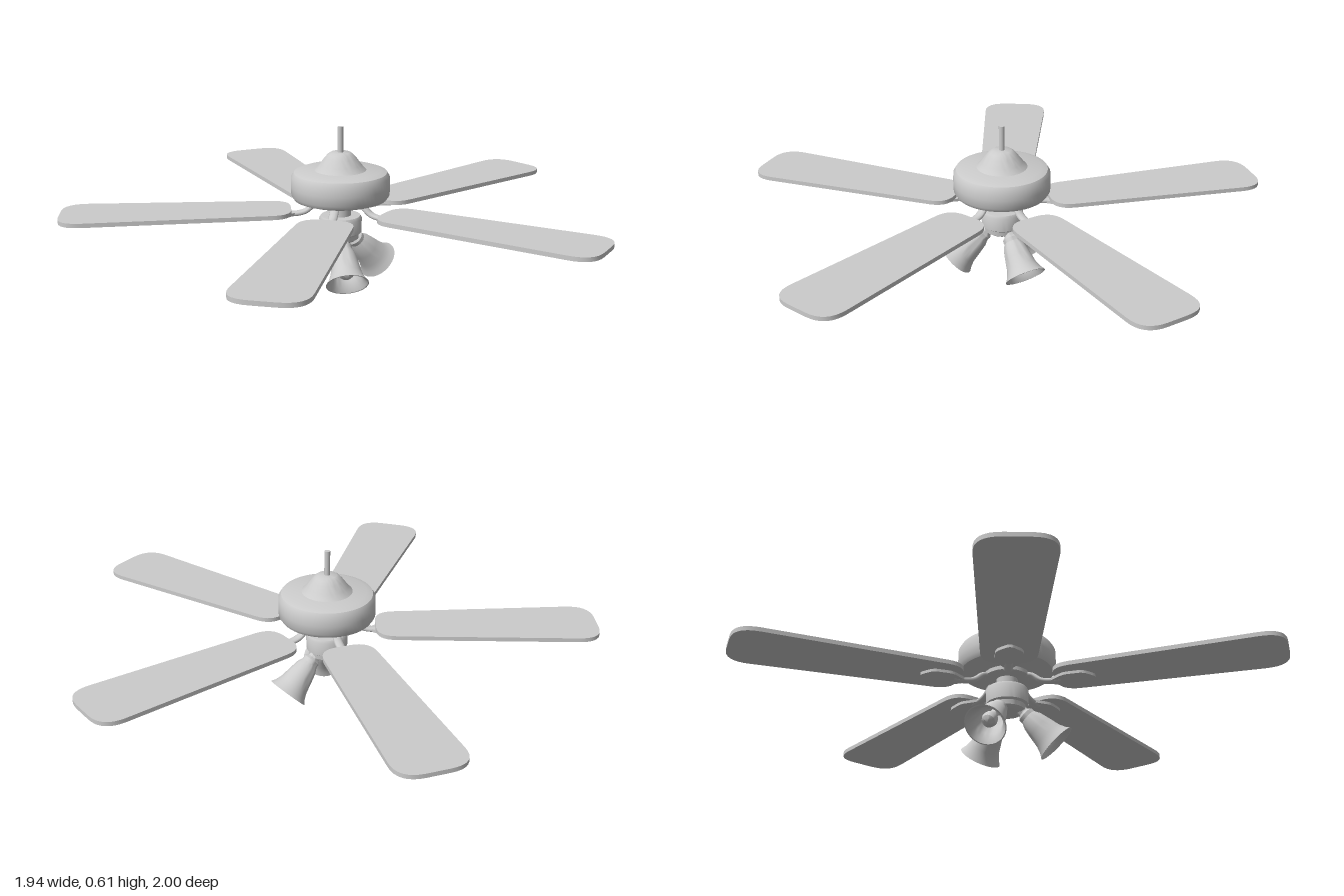
import * as THREE from 'three';
import { toCreasedNormals } from 'three/addons/utils/BufferGeometryUtils.js';

const material = new THREE.MeshStandardMaterial({ color: 0xcccccc });

function mesh(name, geometry) {
  const m = new THREE.Mesh(geometry, material);
  m.name = name;
  return m;
}

// Turned part from [radius, height] pairs, outer side listed bottom to top
function turned(name, profile, segments = 48) {
  const points = profile.map(([r, y]) => new THREE.Vector2(r, y));
  return mesh(name, toCreasedNormals(new THREE.LatheGeometry(points, segments), 0.6));
}

// Flat horizontal plate from corners [x, y, roundness], lying from y = 0 upwards
function plate(name, corners, thickness) {
  const shape = new THREE.Shape();
  const n = corners.length;
  const toward = (a, b, d) => {
    const v = new THREE.Vector2(b[0] - a[0], b[1] - a[1]).setLength(d);
    return [a[0] + v.x, a[1] + v.y];
  };
  corners.forEach((c, i) => {
    const start = toward(c, corners[(i + n - 1) % n], c[2]);
    const end = toward(c, corners[(i + 1) % n], c[2]);
    if (i === 0) shape.moveTo(...start);
    else shape.lineTo(...start);
    shape.quadraticCurveTo(c[0], c[1], ...end);
  });
  shape.closePath();
  const geometry = new THREE.ExtrudeGeometry(shape, { depth: thickness, bevelEnabled: false, curveSegments: 8 });
  geometry.rotateX(-Math.PI / 2);
  return mesh(name, toCreasedNormals(geometry, 0.6));
}

// One blade with its bracket, pointing along +x
function createBlade() {
  const group = new THREE.Group();
  group.name = 'bladeAssembly';

  const blade = plate('blade', [
    [0.185, -0.1, 0.075], [1.03, -0.136, 0.095], [1.03, 0.136, 0.095], [0.185, 0.1, 0.075],
  ], 0.016);
  blade.position.y = 0.287;

  const bracket = plate('bladeBracket', [
    [0.17, -0.015, 0.008], [0.225, -0.052, 0.02], [0.3, -0.05, 0.02], [0.342, 0, 0.02],
    [0.3, 0.05, 0.02], [0.225, 0.052, 0.02], [0.17, 0.015, 0.008],
  ], 0.011);
  bracket.position.y = 0.276;

  const path = new THREE.CatmullRomCurve3([
    new THREE.Vector3(0.06, 0.318, 0), new THREE.Vector3(0.095, 0.315, 0),
    new THREE.Vector3(0.13, 0.29, 0), new THREE.Vector3(0.16, 0.282, 0),
    new THREE.Vector3(0.21, 0.281, 0),
  ]);
  const arm = mesh('bladeArm', new THREE.TubeGeometry(path, 20, 0.01, 10).scale(1, 1, 1.7));

  group.add(blade, bracket, arm);
  return group;
}

// One lamp leaning outwards along +x
function createLamp() {
  const pivot = new THREE.Group();
  pivot.name = 'lamp';
  const lamp = new THREE.Group();
  lamp.name = 'lampHead';
  lamp.position.set(0.18, 0.057, 0);
  lamp.rotation.z = Math.PI / 4;

  // Bell shade: inner wall down, over the lip, outer wall up
  const shade = turned('shade', [
    [0, 0.14], [0.024, 0.14], [0.037, 0.12], [0.045, 0.085], [0.053, 0.04], [0.063, 0.015], [0.075, 0],
    [0.079, 0], [0.068, 0.017], [0.058, 0.042], [0.05, 0.085], [0.042, 0.122], [0.03, 0.147], [0, 0.15],
  ], 32);
  const bulb = turned('bulb', [
    [0, 0.022], [0.014, 0.025], [0.025, 0.034], [0.029, 0.05], [0.026, 0.066], [0.016, 0.09],
    [0.014, 0.14],
  ], 24);
  const socket = turned('socket', [
    [0, 0.142], [0.032, 0.142], [0.032, 0.158], [0.022, 0.168], [0.018, 0.21], [0, 0.21],
  ], 24);

  lamp.add(shade, bulb, socket);
  pivot.add(lamp);
  return pivot;
}

export function createModel() {
  const fan = new THREE.Group();
  fan.name = 'ceilingFan';
  const body = new THREE.Group();
  body.name = 'fanBody';
  body.position.set(-0.06, 0, 0.013);
  fan.add(body);

  // Hanging rod, canopy and motor
  const rod = mesh('rod', new THREE.CylinderGeometry(0.011, 0.011, 0.11, 20));
  rod.position.y = 0.552;
  const canopy = turned('canopy', [
    [0.098, 0.443], [0.09, 0.45], [0.078, 0.465], [0.06, 0.489], [0.047, 0.504], [0.036, 0.511], [0, 0.512],
  ]);
  const motor = turned('motorHousing', [
    [0, 0.329], [0.15, 0.329], [0.173, 0.337], [0.183, 0.352], [0.184, 0.385], [0.183, 0.42],
    [0.173, 0.436], [0.15, 0.444], [0, 0.446],
  ], 64);

  // Rotor, neck and switch housing below the motor
  const rotor = turned('rotor', [[0, 0.308], [0.07, 0.308], [0.085, 0.314], [0.085, 0.332], [0, 0.332]]);
  const neck = mesh('neck', new THREE.CylinderGeometry(0.04, 0.04, 0.07, 32));
  neck.position.y = 0.29;
  const switchHousing = turned('switchHousing', [
    [0, 0.172], [0.055, 0.174], [0.067, 0.182], [0.069, 0.2], [0.078, 0.206], [0.08, 0.26],
    [0.074, 0.27], [0, 0.273],
  ]);
  body.add(rod, canopy, motor, rotor, neck, switchHousing);

  for (let i = 0; i < 5; i++) {
    const blade = createBlade();
    blade.rotation.y = THREE.MathUtils.degToRad(3.4 + i * 72);
    body.add(blade);
  }
  for (let i = 0; i < 3; i++) {
    const lamp = createLamp();
    lamp.rotation.y = (i * Math.PI * 2) / 3;
    body.add(lamp);
  }
  return fan;
}
